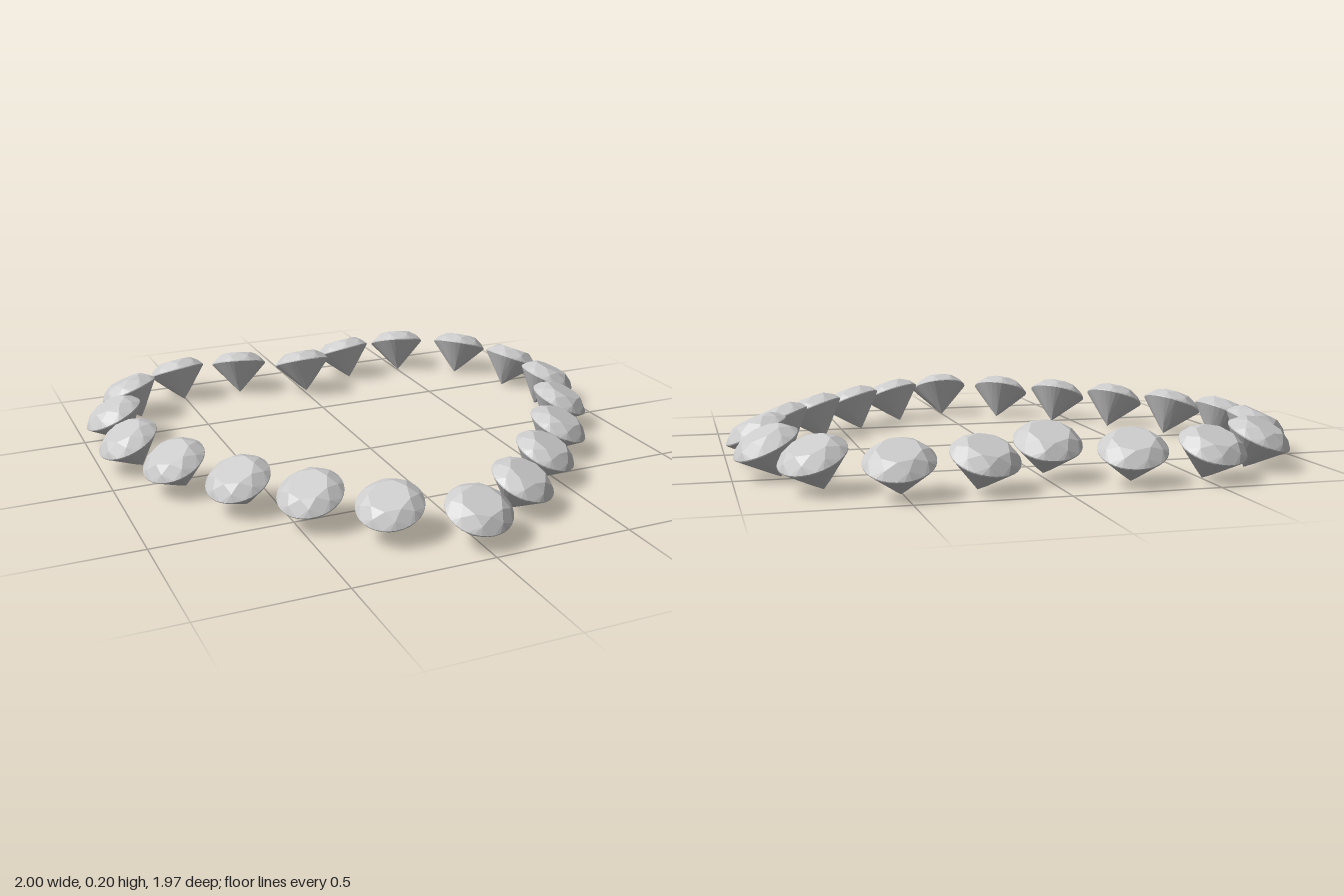
import * as THREE from 'three';
import { ConvexGeometry } from 'three/addons/geometries/ConvexGeometry.js';

const R = 0.115;        // girdle radius
const TABLE = 0.07;     // table radius
const CROWN = 0.043;    // crown height
const DEPTH = 0.124;    // pavilion depth
const TILT = 0.42;      // outward lean of every stone
const HEIGHT = 0.118;   // girdle centre above the ground

// Points of a regular ring, used as one tier of the cut stone
function ring(count, radius, y, turn = 0) {
  return Array.from({ length: count }, (_, i) => {
    const a = ((i + turn) / count) * Math.PI * 2;
    return new THREE.Vector3(Math.sin(a) * radius, y, Math.cos(a) * radius);
  });
}

// Round brilliant cut: table, star tier, thin girdle, pavilion tier, culet
function gemGeometry() {
  const c = Math.cos(Math.PI / 8);
  const g = 0.002;
  return new ConvexGeometry([
    ...ring(8, TABLE, CROWN),
    ...ring(8, (R - (R - TABLE) * 0.55) / c, g + (CROWN - g) * 0.55, 0.5),
    ...ring(32, R, g),
    ...ring(32, R, -g),
    ...ring(8, (R * 0.25) / c, -g - (DEPTH - g) * 0.75, 0.5),
    new THREE.Vector3(0, -DEPTH, 0),
  ]);
}

export function createModel() {
  const model = new THREE.Group();
  model.name = 'heartOfGems';
  const geometry = gemGeometry();
  const material = new THREE.MeshStandardMaterial({ color: 0xcccccc, flatShading: true });

  // Half of the heart outline (x, z), from the notch round to the point
  const half = [
    [0, -0.743], [0.245, -0.875], [0.519, -0.886], [0.764, -0.731], [0.886, -0.468], [0.896, -0.182],
    [0.794, 0.082], [0.636, 0.326], [0.452, 0.535], [0.248, 0.726], [0, 0.874],
  ];
  const mirrored = half.slice(1, -1).reverse().map(([x, z]) => [-x, z]);
  const outline = [...half, ...mirrored];
  const n = outline.length;

  outline.forEach(([x, z], i) => {
    // Lean each stone along the outward normal of the outline
    const [px, pz] = outline[(i + n - 1) % n];
    const [nx, nz] = outline[(i + 1) % n];
    const gem = new THREE.Mesh(geometry, material);
    gem.rotation.set(TILT, Math.atan2(nz - pz, px - nx), 0, 'YXZ');
    gem.position.set(x, HEIGHT + (i === 0 ? 0.014 : 0), z);
    gem.name = i === 0 ? 'notchGem' : i === half.length - 1 ? 'pointGem' : x > 0 ? 'leftGem' : 'rightGem';
    model.add(gem);
  });
  return model;
}
